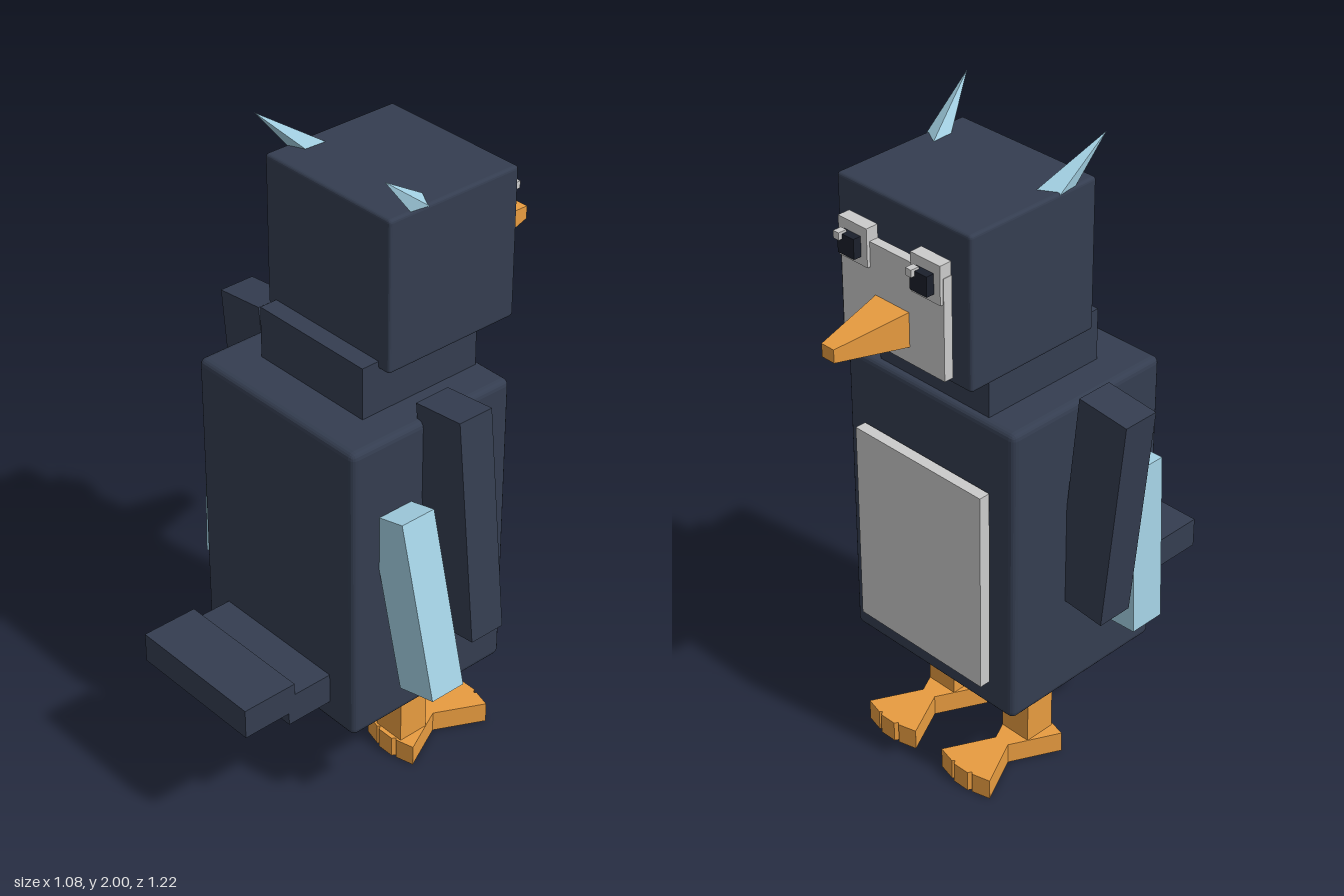
import * as THREE from 'three';
import { RoundedBoxGeometry } from 'three/addons/geometries/RoundedBoxGeometry.js';
import { ConvexGeometry } from 'three/addons/geometries/ConvexGeometry.js';

const material = (color) => new THREE.MeshStandardMaterial({ color, flatShading: true });

export function createModel() {
  const model = new THREE.Group();
  const navy = material(0x343d50);
  const ice = material(0xa5d3e6);
  const orange = material(0xe89c40);
  const white = material(0xcccccc);
  const black = material(0x1b202c);

  const add = (name, geometry, mat) => {
    const mesh = new THREE.Mesh(geometry, mat);
    mesh.name = name;
    model.add(mesh);
    return mesh;
  };
  // Box given by its [min, max] range on each axis, with optional rounded edges
  const box = (name, mat, [x0, x1], [y0, y1], [z0, z1], radius = 0) => {
    const size = [x1 - x0, y1 - y0, z1 - z0];
    const geometry = radius
      ? new RoundedBoxGeometry(...size, 2, radius)
      : new THREE.BoxGeometry(...size);
    const mesh = add(name, geometry, mat);
    mesh.position.set((x0 + x1) / 2, (y0 + y1) / 2, (z0 + z1) / 2);
    return mesh;
  };

  // Body, neck and head; the face points to -z
  box('body', navy, [-0.333, 0.315], [0.32, 1.28], [-0.267, 0.305], 0.02);
  box('neck', navy, [-0.22, 0.2], [1.26, 1.44], [-0.245, 0.17]);
  box('head', navy, [-0.256, 0.24], [1.415, 1.876], [-0.344, 0.113], 0.01);
  box('bellyPanel', white, [-0.25, 0.24], [0.42, 1.065], [-0.31, -0.275]);
  box('facePanel', white, [-0.2, 0.185], [1.445, 1.75], [-0.385, -0.356]);

  // Eyes, both with the glint on the same side
  for (const [side, x] of [['left', 0.127], ['right', -0.144]]) {
    box(side + 'EyePlate', white, [x - 0.054, x + 0.054], [1.675, 1.79], [-0.395, -0.356]);
    box(side + 'Pupil', black, [x - 0.031, x + 0.031], [1.7, 1.76], [-0.42, -0.39]);
    box(side + 'Glint', white, [x + 0.012, x + 0.033], [1.745, 1.767], [-0.432, -0.405]);
  }

  // Beak: square frustum
  const beakCorners = [];
  for (const [z, w, h] of [[-0.33, 0.073, 0.06], [-0.61, 0.023, 0.02]])
    for (const sx of [-1, 1])
      for (const sy of [-1, 1])
        beakCorners.push(new THREE.Vector3(-0.007 + sx * w, 1.546 + sy * h, z));
  add('beak', new ConvexGeometry(beakCorners), orange);

  // Swept-back crest spikes
  for (const [side, s] of [['left', 1], ['right', -1]]) {
    const corners = [
      [0.187, 1.87, -0.06], [0.247, 1.87, -0.025], [0.243, 1.87, 0.035], [0.19, 1.87, 0.012],
      [0.255, 2, 0.138],
    ].map(([x, y, z]) => new THREE.Vector3(-0.008 + s * x, y, z));
    add(side + 'CrestSpike', new ConvexGeometry(corners), ice);
  }

  // Wings and the pale feathers behind them: name, material, centre, size, tilt
  const flaps = [
    ['leftWing', navy, [0.405, 0.992, -0.002], [0.17, 0.69, 0.115], 0.102],
    ['rightWing', navy, [-0.42, 0.972, -0.002], [0.17, 0.69, 0.115], 0.102],
    ['leftFeather', ice, [0.405, 0.785, 0.153], [0.135, 0.54, 0.115], 0.245],
    ['rightFeather', ice, [-0.378, 0.77, 0.153], [0.135, 0.535, 0.115], -0.037],
  ];
  for (const [name, mat, centre, size, tilt] of flaps) {
    const flap = add(name, new THREE.BoxGeometry(...size), mat);
    flap.position.set(...centre);
    flap.rotation.z = tilt;
  }

  // Stepped tail
  box('tailBase', navy, [-0.234, 0.215], [0.39, 0.487], [0.28, 0.455]);
  box('tailTip', navy, [-0.234, 0.215], [0.43, 0.525], [0.433, 0.61]);

  // Webbed foot outline: scalloped at both ends, pinched in the middle
  const end = [[0.1, 0.15], [0.042, 0.165], [0.035, 0.158], [0.028, 0.17]];
  const arc = [...end, ...end.map(([x, y]) => [-x, y]).reverse()];
  const outline = [[0.025, 0], ...arc, [-0.025, 0], ...arc.map(([x, y]) => [-x, -y])];
  const footShape = new THREE.Shape(outline.map(([x, y]) => new THREE.Vector2(x, y)));
  const footGeometry = new THREE.ExtrudeGeometry(footShape, { depth: 0.067, bevelEnabled: false });
  footGeometry.rotateX(-Math.PI / 2);

  // Legs and feet
  for (const [side, x] of [['left', 0.146], ['right', -0.165]]) {
    box(side + 'Leg', orange, [x - 0.052, x + 0.052], [0.03, 0.34], [-0.085, 0.016]);
    add(side + 'Foot', footGeometry, orange).position.set(x, 0, -0.14);
  }

  return model;
}
